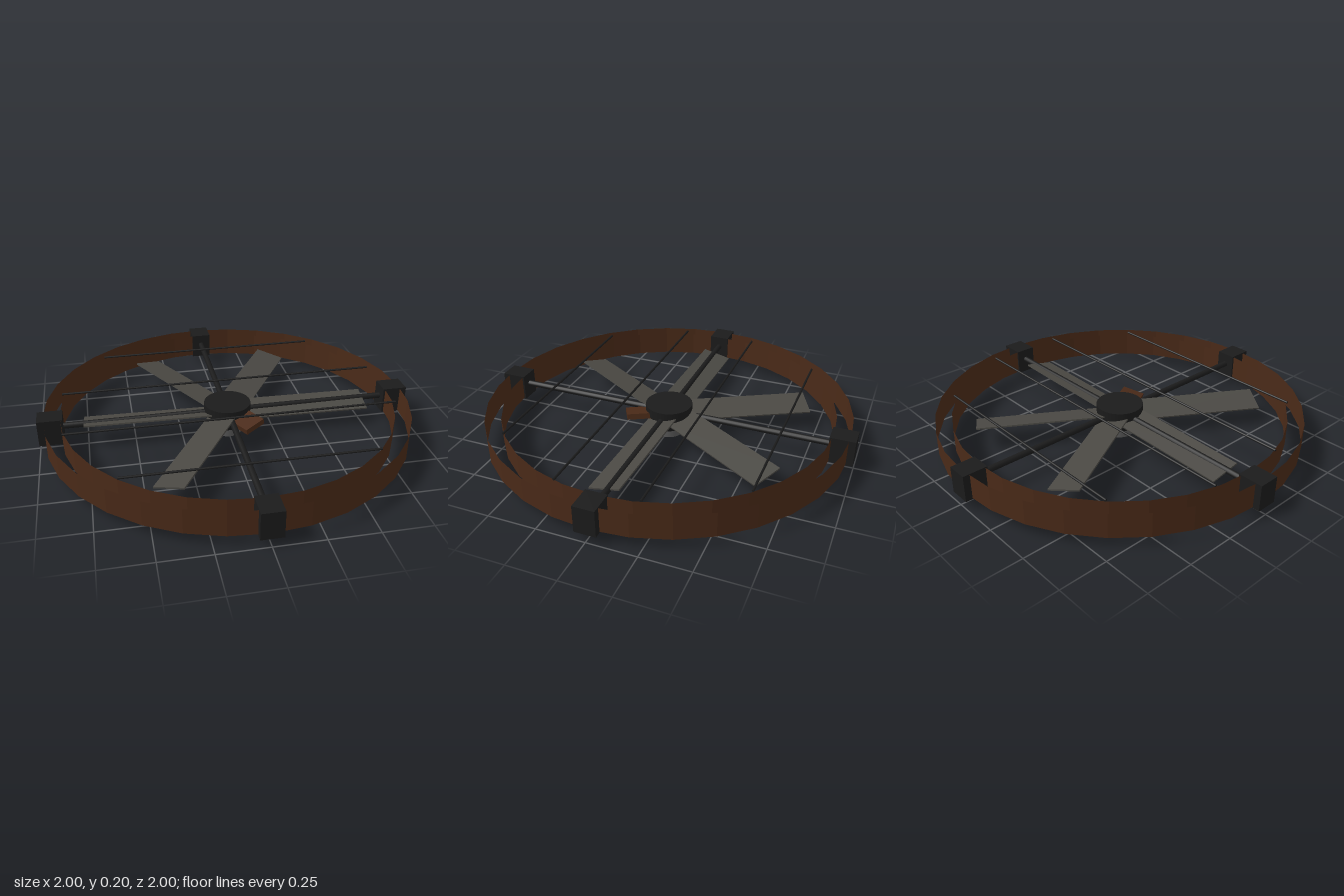
import * as THREE from 'three';

const material = (color, extra = {}) => new THREE.MeshStandardMaterial({ color, ...extra });

export function createModel() {
  const model = new THREE.Group();
  model.name = 'ceilingFan';
  const wood = material(0x4a2a18, { flatShading: true, side: THREE.DoubleSide });
  const iron = material(0x1b1b1b);
  const bladeGrey = material(0x4a4843);
  const lampGrey = material(0x5a5a5a);

  const add = (name, geometry, mat, parent = model) => {
    const mesh = new THREE.Mesh(geometry, mat);
    mesh.name = name;
    parent.add(mesh);
    return mesh;
  };

  // Two thin open walls of the round frame
  for (const [name, r] of [['outerRing', 0.97], ['innerRing', 0.885]]) {
    add(name, new THREE.CylinderGeometry(r, r, 0.13, 32, 1, true), wood).position.y = 0.115;
  }

  // Clamps around the frame, at the ends of the cross rods
  for (let i = 0; i < 4; i++) {
    const arm = new THREE.Group();
    arm.name = 'frameArm';
    arm.rotation.y = i * Math.PI / 2;
    model.add(arm);
    add('clamp', new THREE.BoxGeometry(0.13, 0.14, 0.11), iron, arm).position.set(0.935, 0.115, 0);
    const rod = add('crossRod', new THREE.CylinderGeometry(0.016, 0.016, 0.88, 12), iron, arm);
    rod.rotation.z = Math.PI / 2;
    rod.position.set(0.44, 0.122, 0);
  }

  // Thin guard wires lying across the top
  for (const [z, half] of [[-0.64, 0.625], [-0.213, 0.87], [0.213, 0.87], [0.637, 0.625]]) {
    const wire = add('guardWire', new THREE.CylinderGeometry(0.006, 0.006, half * 2, 8), iron);
    wire.rotation.z = Math.PI / 2;
    wire.position.set(0, 0.195, z);
  }

  // Motor hub with a lamp housing below
  add('hub', new THREE.CylinderGeometry(0.125, 0.125, 0.05, 32), iron).position.y = 0.147;
  add('lowerHub', new THREE.CylinderGeometry(0.122, 0.1, 0.07, 32), iron).position.y = 0.087;
  add('lampHousing', new THREE.CylinderGeometry(0.077, 0.077, 0.06, 32), lampGrey).position.y = 0.03;

  // Five pitched blades; the sixth place holds only a short wooden mount
  for (let i = 0; i < 6; i++) {
    const holder = new THREE.Group();
    holder.name = 'bladeHolder';
    holder.position.y = 0.12;
    holder.rotation.y = THREE.MathUtils.degToRad(-1.5 + 60 * i);
    model.add(holder);
    const isMount = i === 5;
    const [start, end, width] = isMount ? [0.06, 0.23, 0.12] : [0.08, 0.765, 0.162];
    const blade = add(isMount ? 'bladeMount' : 'blade',
      new THREE.BoxGeometry(end - start, isMount ? 0.03 : 0.008, width),
      isMount ? wood : bladeGrey, holder);
    blade.position.x = (start + end) / 2;
    blade.rotation.x = THREE.MathUtils.degToRad(12);
  }
  return model;
}
